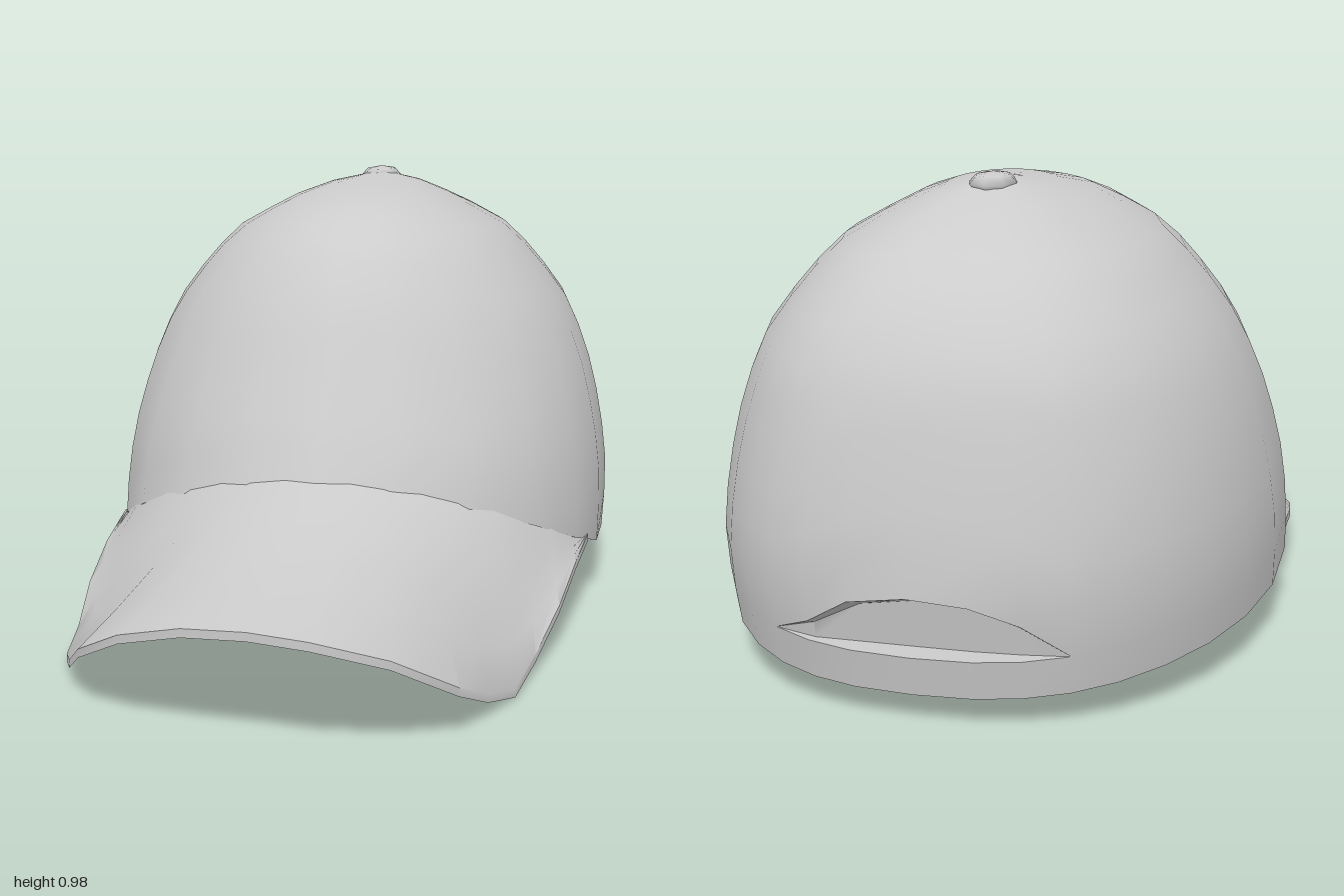
import * as THREE from 'three';
import { toCreasedNormals } from 'three/addons/utils/BufferGeometryUtils.js';

const material = new THREE.MeshStandardMaterial({ color: 0xcccccc, side: THREE.DoubleSide });
const { sin, cos, abs, sign, max, sqrt, PI } = Math;

// Crown slices, low to high: height, front z, back z, half width
const SLICES = [
  [0.06, 0.47, -0.96, 0.575], [0.14, 0.46, -0.975, 0.587], [0.28, 0.43, -1.0, 0.585],
  [0.38, 0.4, -0.985, 0.572], [0.46, 0.36, -0.97, 0.555], [0.55, 0.31, -0.95, 0.53],
  [0.66, 0.25, -0.92, 0.485], [0.73, 0.21, -0.875, 0.435], [0.8, 0.155, -0.82, 0.375],
  [0.85, 0.11, -0.76, 0.325], [0.9, 0.02, -0.665, 0.235], [0.93, -0.05, -0.58, 0.175],
  [0.96, -0.25, -0.51, 0.09], [0.972, -0.45, -0.45, 0],
];
const APEX = 0.972;
// Rim height along z, back to front
const RIM = [[-1, 0.058], [-0.8, 0.085], [-0.6, 0.1], [-0.25, 0.115], [-0.1, 0.145], [0.13, 0.235], [0.41, 0.365]];

// Linear look-up in a table sorted by its first column
function lookUp(table, key) {
  let i = 0;
  while (i < table.length - 2 && key > table[i + 1][0]) i++;
  const [a, b] = [table[i], table[i + 1]];
  const t = THREE.MathUtils.clamp((key - a[0]) / (b[0] - a[0]), 0, 1);
  return a.map((value, k) => value + (b[k] - value) * t);
}

// Point of the crown wall, squarer at the back; angle 0 is the front, inset moves it inwards
function wallPoint(angle, y, inset = 0, drop = 0) {
  const [, front, back, half] = lookUp(SLICES, y);
  const round = (c) => sign(c) * Math.pow(abs(c), 0.95 + 0.12 * cos(angle));
  const lean = 0.03 * half * cos(angle) ** 2;
  return new THREE.Vector3(
    round(sin(angle)) * max(0, half - inset) + lean,
    y - drop,
    (front + back) / 2 + round(cos(angle)) * max(0, (front - back) / 2 - inset),
  );
}
const rimHeight = (angle) => lookUp(RIM, -0.29 + 0.7 * cos(angle))[1];

// Joins the rows of points returned by section(u), u = 0..1, into one mesh
function loft(name, columns, section, crease) {
  const positions = [];
  const put = (...points) => points.forEach((p) => positions.push(p.x, p.y, p.z));
  for (let i = 0; i < columns; i++) {
    const here = section(i / columns);
    const next = section((i + 1) / columns);
    for (let j = 0; j < here.length - 1; j++) {
      const [a, b, c, d] = [here[j], next[j], next[j + 1], here[j + 1]];
      put(a, b, c, a, c, d);
    }
  }
  const geometry = new THREE.BufferGeometry();
  geometry.setAttribute('position', new THREE.Float32BufferAttribute(positions, 3));
  geometry.computeVertexNormals();
  const mesh = new THREE.Mesh(toCreasedNormals(geometry, crease), material);
  mesh.name = name;
  return mesh;
}

// Thin double-walled dome with a turned-in lip and a recess above the rear strap
function crownSection(u) {
  // Columns are closer together at the back
  const angle = u * 2 * PI + 0.35 * sin(u * 2 * PI);
  const lip = 0.045 + 0.03 * cos(angle) ** 2;
  const thick = 0.022;
  const rim = rimHeight(angle);
  const strapTop = rim + 0.08;
  const x = wallPoint(angle, strapTop).x / 0.24;
  const gap = cos(angle) < 0 ? 0.125 * sqrt(max(0, 1 - x * x)) : 0;
  const depth = 0.45 * gap;
  const recessTop = strapTop + gap;
  const outer = [
    wallPoint(angle, rim), wallPoint(angle, strapTop),
    wallPoint(angle, strapTop, depth), wallPoint(angle, recessTop - 0.2 * gap, depth),
  ];
  const inner = [wallPoint(angle, strapTop, thick + depth), wallPoint(angle, rim, lip)];
  const rows = 14;
  for (let k = 0; k <= rows; k++) {
    const f = sin((k / rows) * PI / 2);
    const y = recessTop + (APEX - recessTop) * f;
    outer.push(wallPoint(angle, y));
    inner.unshift(wallPoint(angle, y, k ? thick * (1 - f * 0.5) : thick + depth, thick * f));
  }
  return [...inner, ...outer];
}

// Free edge of the peak, from one side of the crown round to the other
const peakEdge = new THREE.CatmullRomCurve3([
  [-0.57, 0.16, -0.07], [-0.56, 0.13, 0.1], [-0.54, 0.085, 0.28], [-0.51, 0.035, 0.44], [-0.485, 0.022, 0.58],
  [-0.43, 0.06, 0.71], [-0.365, 0.13, 0.83], [-0.25, 0.2, 0.925], [-0.11, 0.24, 0.975], [0.02, 0.247, 0.99],
  [0.14, 0.24, 1.0], [0.28, 0.195, 0.945], [0.39, 0.105, 0.82], [0.43, 0.05, 0.7], [0.47, 0.018, 0.58],
  [0.495, 0.04, 0.43], [0.53, 0.1, 0.28], [0.55, 0.145, 0.1], [0.565, 0.165, -0.07],
].map((p) => new THREE.Vector3(...p)));

// Curved peak with a thin edge, swept from one side of the crown to the other
function peakSection(u) {
  const s = u * 2 - 1;
  const angle = s * 1.3;
  const root = wallPoint(angle, rimHeight(angle) + 0.014, 0.012);
  const edge = peakEdge.getPoint(u);
  const top = [];
  const bottom = [];
  const rows = 4;
  for (let k = 0; k <= rows; k++) {
    const t = k / rows;
    const p = root.clone().lerp(edge, t);
    p.y -= 0.06 * t * (1 - t) * (1 - s * s);
    top.unshift(p);
    bottom.push(p.clone().setY(p.y - 0.018));
  }
  return [...bottom, ...top];
}

export function createModel() {
  const cap = new THREE.Group();
  cap.name = 'cap';
  cap.add(loft('crown', 28, crownSection, 0.9));
  cap.add(loft('peak', 18, peakSection, 0.8));

  // Small covered button on top
  const button = new THREE.Mesh(new THREE.SphereGeometry(1, 8, 4), material);
  button.name = 'topButton';
  button.scale.set(0.05, 0.022, 0.07);
  button.position.set(-0.005, 0.962, -0.47);
  cap.add(button);
  return cap;
}
